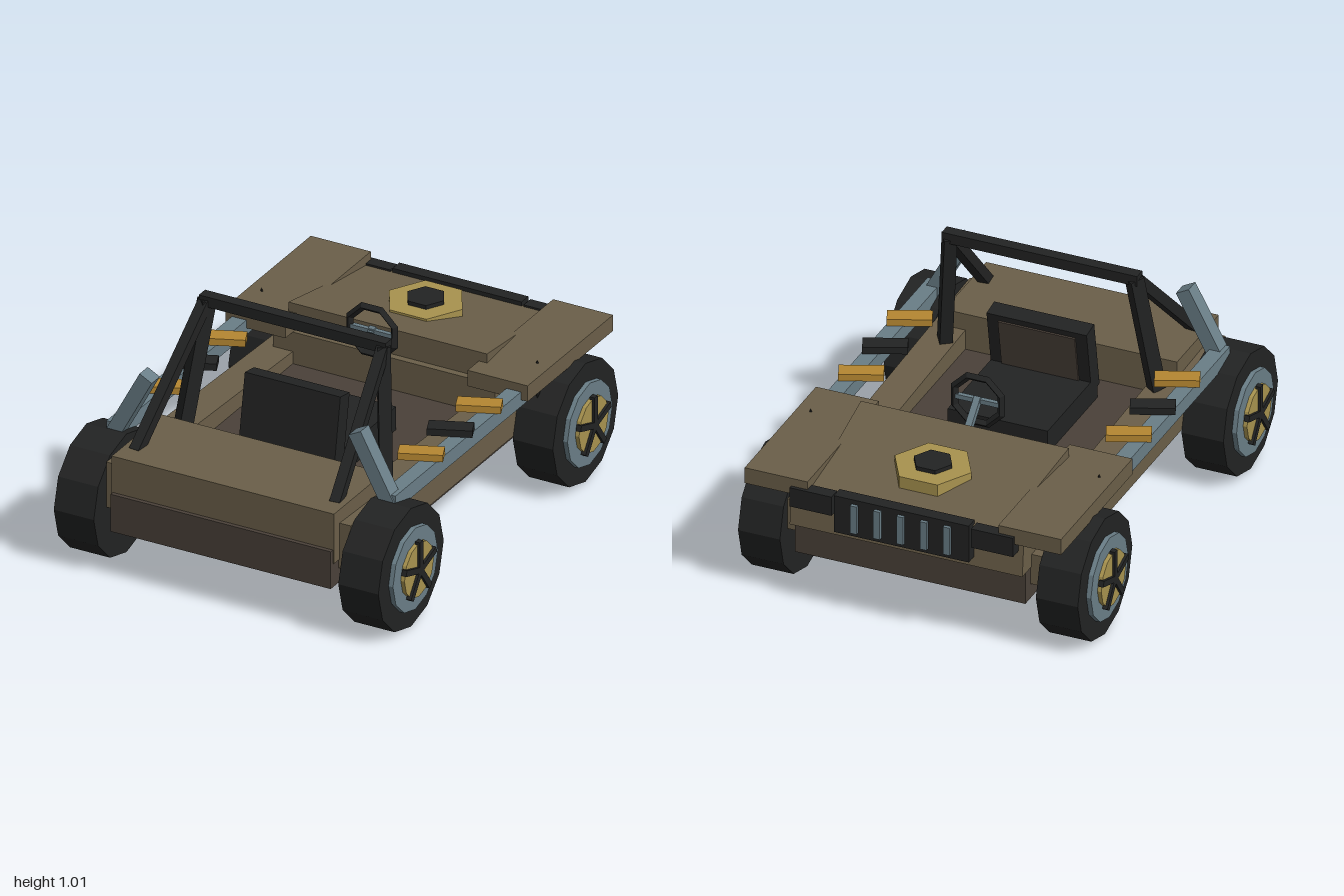
import * as THREE from 'three';

const paint = (name, color) => Object.assign(new THREE.MeshStandardMaterial({ color }), { name });
const olive = paint('olive body', 0x6b5f49);
const umber = paint('dark umber', 0x4a4139);
const black = paint('black', 0x222323);
const steel = paint('blue steel', 0x6a7e87);
const brass = paint('brass', 0xa8934f);
const amber = paint('amber', 0xb58731);

// Unshared corners give every facet its own normal
function facet(geo) {
  const g = geo.index ? geo.toNonIndexed() : geo;
  g.computeVertexNormals();
  return g;
}

export function createModel() {
  const model = new THREE.Group();
  model.name = 'openBuggy';

  function add(name, geo, mat, parent = model) {
    const m = new THREE.Mesh(geo, mat);
    m.name = name;
    parent.add(m);
    return m;
  }

  // Box from its limits, with an optional rule that moves each corner
  function block(name, mat, [x0, x1], [y0, y1], [z0, z1], rule) {
    const g = new THREE.BoxGeometry(x1 - x0, y1 - y0, z1 - z0);
    g.translate((x0 + x1) / 2, (y0 + y1) / 2, (z0 + z1) / 2);
    if (rule) {
      const p = g.attributes.position;
      const v = new THREE.Vector3();
      for (let i = 0; i < p.count; i++) {
        v.fromBufferAttribute(p, i);
        rule(v, v.y > (y0 + y1) / 2, v.z < (z0 + z1) / 2);
        p.setXYZ(i, v.x, v.y, v.z);
      }
    }
    return add(name, rule ? facet(g) : g, mat);
  }

  // Square bar between two points
  function bar(name, mat, a, b, w, d = w) {
    const p = new THREE.Vector3(...a), q = new THREE.Vector3(...b);
    const m = add(name, new THREE.BoxGeometry(w, d, p.distanceTo(q)), mat);
    m.position.copy(p).add(q).multiplyScalar(0.5);
    m.lookAt(q);
    return m;
  }

  // Hull
  block('floorPan', umber, [-0.495, 0.495], [0.21, 0.375], [-0.9, 0.963]);
  block('rearDeck', olive, [-0.5, 0.5], [0.315, 0.535], [0.545, 0.945]);
  block('noseBody', olive, [-0.5, 0.5], [0.355, 0.515], [-0.94, -0.345],
    (v, top, front) => { if (front && top) v.z += 0.015; });
  block('hood', olive, [-0.41, 0.41], [0.5, 0.625], [-0.945, -0.375], (v, top, front) => {
    if (!front) v.x *= 1.09;
    if (front && top) v.y = 0.54;
  });

  // Hood emblem, two stacked hexagons
  for (const [name, mat, r, y0, y1] of [['hoodHexagon', brass, 0.165, 0.54, 0.61], ['hoodCap', black, 0.082, 0.6, 0.627]]) {
    const hex = add(name, facet(new THREE.CylinderGeometry(r, r, y1 - y0, 6)), mat);
    hex.position.set(0, (y0 + y1) / 2, -0.68);
    hex.rotation.y = Math.PI / 2;
  }

  // Grille
  block('grille', black, [-0.29, 0.29], [0.395, 0.56], [-0.985, -0.93]);
  for (let i = -2; i <= 2; i++) {
    block('grilleBar', steel, [i * 0.1 - 0.014, i * 0.1 + 0.014], [0.415, 0.54], [-1, -0.98]);
  }

  for (const s of [-1, 1]) {
    const span = (a, b) => (s > 0 ? [a, b] : [-b, -a]);

    // Side sill with a top that falls toward the nose
    block('sideSill', olive, span(0.41, 0.55), [0.275, 0.475], [-0.85, 0.9], (v, top, front) => {
      if (top && front) v.y = 0.41;
    });
    block('fender', olive, span(0.41, 0.68), [0.515, 0.585], [-0.97, -0.285]);
    block('lampStrip', black, span(0.3, 0.48), [0.465, 0.55], [-0.985, -0.93]);
    block('sideRail', steel, span(0.585, 0.65), [0.485, 0.55], [-0.49, 0.72]);

    const spike = add('fenderSpike', new THREE.OctahedronGeometry(1), black);
    spike.scale.set(0.037, 0.085, 0.017);
    spike.position.set(s * 0.62, 0.515, -0.47);

    // Leaning rear post
    const post = add('rearPost', new THREE.BoxGeometry(0.062, 0.32, 0.065), steel);
    post.position.set(s * 0.545, 0.645, 0.695);
    post.rotation.z = s * 0.49;

    // Slanted plates across the rail
    [[-0.085, amber], [0.145, black], [0.38, amber]].forEach(([z, mat]) => {
      const plate = add('railPlate', new THREE.BoxGeometry(0.18, 0.03, 0.075), mat);
      plate.position.set(s * 0.575, 0.565, z);
      plate.rotation.y = 0.4;
    });

    // Roll cage legs
    bar('cageLeg', black, [s * 0.455, 0.46, 0.45], [s * 0.397, 0.99, 0.365], 0.052, 0.06);
    bar('cageBrace', black, [s * 0.45, 0.52, 0.84], [s * 0.4, 0.985, 0.37], 0.045, 0.045);
  }
  block('cageTopBar', black, [-0.42, 0.42], [0.97, 1.015], [0.34, 0.39]);

  // Seat
  block('seatCushion', black, [-0.215, 0.215], [0.36, 0.477], [-0.06, 0.42]);
  const seatBack = new THREE.Group();
  seatBack.name = 'seatBack';
  seatBack.position.set(0, 0.57, 0.375);
  seatBack.rotation.x = -0.17;
  model.add(seatBack);
  add('backrest', new THREE.BoxGeometry(0.43, 0.3, 0.075), black, seatBack);
  const pad = add('backrestPanel', new THREE.BoxGeometry(0.33, 0.22, 0.009), umber, seatBack);
  pad.position.set(0, 0.015, -0.041);

  // Steering wheel
  const rim = add('steeringWheel', facet(new THREE.TorusGeometry(0.108, 0.017, 4, 8)), black);
  rim.position.set(0, 0.67, -0.25);
  rim.rotation.z = Math.PI / 8;
  bar('steeringSpoke', steel, [-0.1, 0.67, -0.25], [0.1, 0.67, -0.25], 0.02);
  bar('steeringColumn', steel, [0, 0.68, -0.245], [0, 0.55, -0.38], 0.028);

  // Wheels, outer face toward +x
  function wheel(name, side, z) {
    const g = new THREE.Group();
    g.name = name;
    g.position.set(side * 0.55, 0.263, z);
    if (side < 0) g.rotation.y = Math.PI;
    const disc = (part, mat, r, x0, x1) => {
      const geo = new THREE.CylinderGeometry(r, r, x1 - x0, 12);
      geo.rotateZ(-Math.PI / 2);
      add(part, facet(geo), mat, g).position.x = (x0 + x1) / 2;
    };
    disc('tyre', black, 0.262, 0, 0.18);
    disc('rim', steel, 0.18, 0.17, 0.2);
    disc('hub', brass, 0.118, 0.19, 0.217);
    for (let i = 0; i < 5; i++) {
      const geo = new THREE.BoxGeometry(0.022, 0.127, 0.026);
      geo.translate(0.217, 0.0635, 0);
      add('spoke', geo, black, g).rotation.x = i * Math.PI * 2 / 5;
    }
    model.add(g);
  }
  for (const s of [-1, 1]) {
    wheel('rearWheel', s, 0.738);
    wheel('frontWheel', s, -0.66);
  }

  return model;
}
